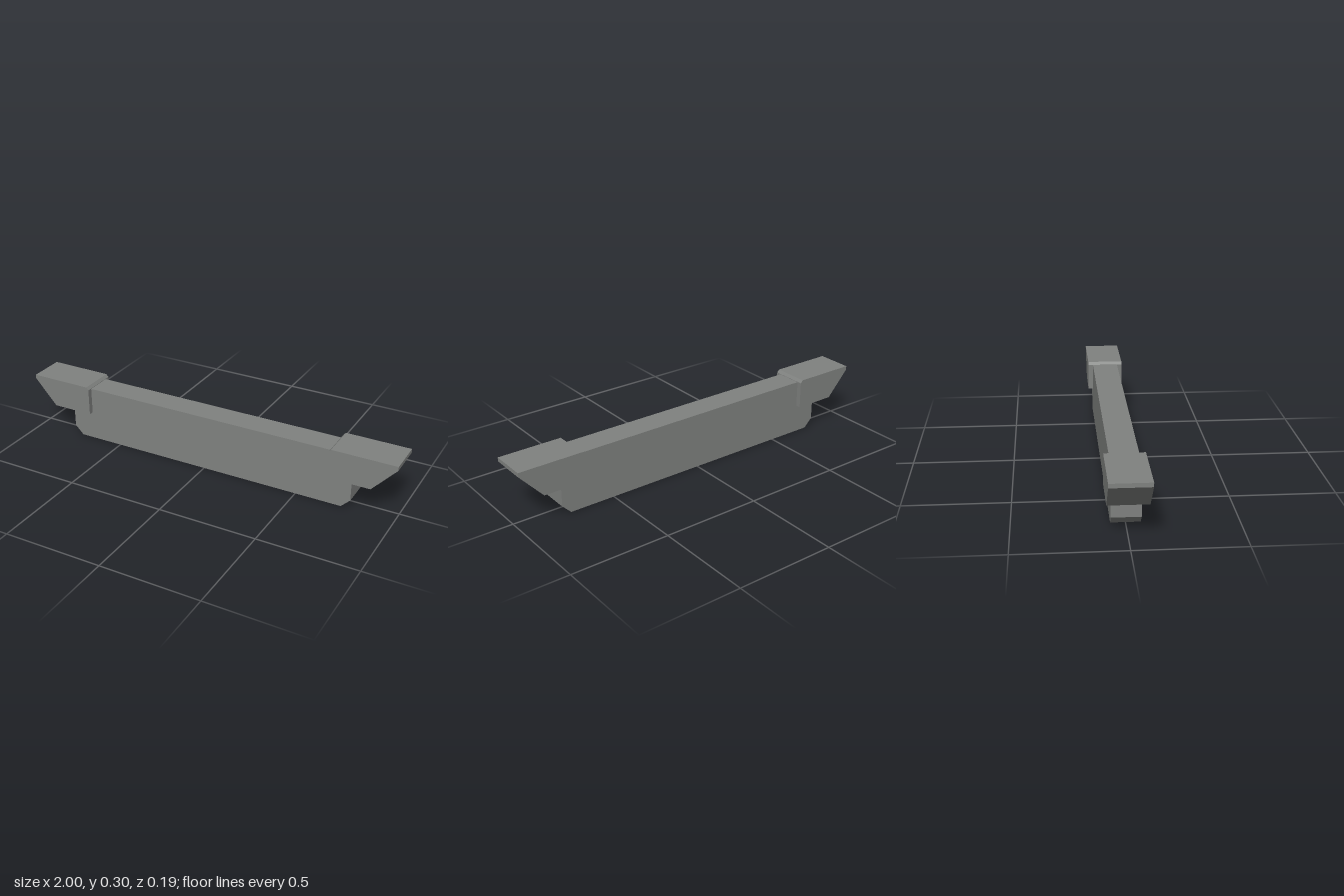
import * as THREE from 'three';

// Extrude a side profile, centred on z = 0
function slab(name, points, depth, material) {
  const shape = new THREE.Shape(points.map(([x, y]) => new THREE.Vector2(x, y)));
  const geometry = new THREE.ExtrudeGeometry(shape, { depth, bevelEnabled: false });
  geometry.translate(0, 0, -depth / 2);
  const mesh = new THREE.Mesh(geometry, material);
  mesh.name = name;
  return mesh;
}

export function createModel() {
  const group = new THREE.Group();
  group.name = 'beam';
  const stone = new THREE.MeshStandardMaterial({ color: 0x808280 });
  stone.name = 'stone grey';

  // Long central beam with chamfered lower corners
  group.add(slab('beamBody', [
    [-0.735, 0], [0.735, 0], [0.78, 0.045], [0.78, 0.286], [-0.78, 0.286], [-0.78, 0.045],
  ], 0.134, stone));

  // Wider end caps, sloping outwards, with a small chamfer on the inner top edge
  const cap = [
    [0.665, 0.15], [0.88, 0.15], [1, 0.282], [1, 0.302], [0.677, 0.302], [0.665, 0.288],
  ];
  for (const [name, side] of [['leftEndCap', 1], ['rightEndCap', -1]]) {
    group.add(slab(name, cap.map(([x, y]) => [x * side, y]), 0.185, stone));
  }
  return group;
}
